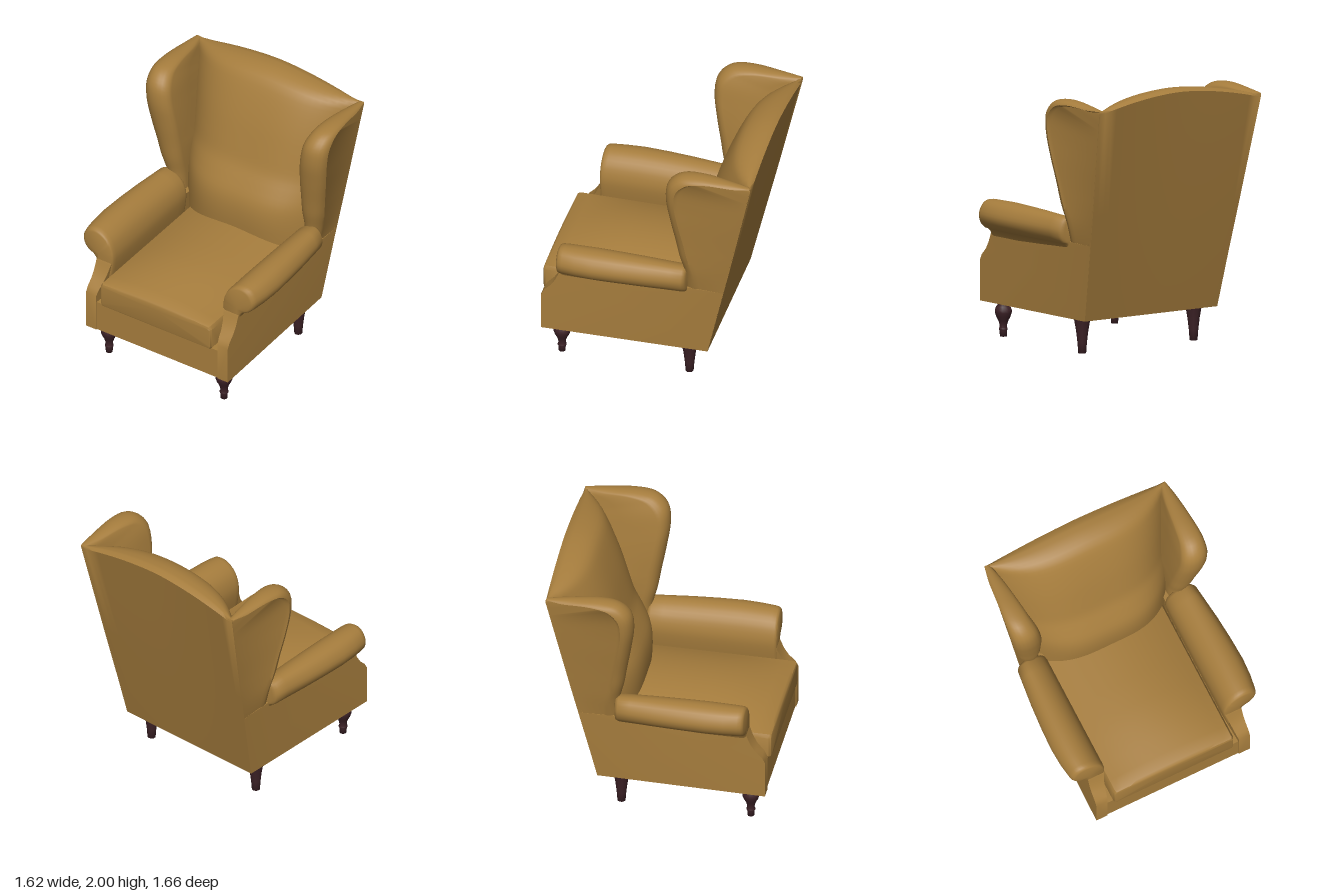
import * as THREE from 'three';
import { toCreasedNormals } from 'three/addons/utils/BufferGeometryUtils.js';

// Skin a list of closed rings [[x,y,z],...] and cap both ends; faces always point outward.
function loft(rings, crease = 0.65) {
  const n = rings[0].length, pos = rings.flat(2), idx = [];
  for (let r = 0; r < rings.length - 1; r++)
    for (let i = 0; i < n; i++) {
      const a = r * n + i, b = r * n + (i + 1) % n;
      idx.push(a, b, b + n, a, b + n, a + n);
    }
  [0, rings.length - 1].forEach((r, end) => {
    const c = pos.length / 3, ring = rings[r];
    for (let k = 0; k < 3; k++) pos.push(ring.reduce((s, p) => s + p[k], 0) / n);
    for (let i = 0; i < n; i++) {
      const a = r * n + i, b = r * n + (i + 1) % n;
      if (end) idx.push(c, a, b); else idx.push(c, b, a);
    }
  });
  const v = (i) => new THREE.Vector3().fromArray(pos, i * 3);
  let volume = 0;
  for (let i = 0; i < idx.length; i += 3) volume += v(idx[i]).dot(v(idx[i + 1]).cross(v(idx[i + 2])));
  if (volume < 0) idx.reverse();
  const g = new THREE.BufferGeometry();
  g.setAttribute('position', new THREE.Float32BufferAttribute(pos, 3));
  g.setIndex(idx);
  return toCreasedNormals(g, crease);
}

const mirrorX = (rings, side) => rings.map((r) => r.map(([x, y, z]) => [x * side, y, z]));
const clamp = THREE.MathUtils.clamp;
const backZ = (y) => -0.465 - 0.224 * (Math.min(y, 1.9) - 0.27); // raked rear plane
const backW = (y) => 0.61 + 0.085 * (Math.min(y, 1.9) - 0.27);   // half width of the rear plane

// Backrest: side profile swept across the width, crowned and bulging in the middle
function backRings() {
  const curve = new THREE.SplineCurve([
    [-0.79, 2.0], [-0.7, 1.997], [-0.6, 1.955], [-0.53, 1.85], [-0.445, 1.65], [-0.38, 1.45], [-0.335, 1.31],
    [-0.275, 1.2], [-0.218, 1.08], [-0.2, 0.93], [-0.215, 0.7], [-0.25, 0.265],
  ].map((p) => new THREE.Vector2(...p)));
  const profile = [...curve.getPoints(33).map((p) => [p.x, p.y]),
    [backZ(0.265), 0.265], [backZ(1.1), 1.1], [backZ(1.9), 1.98]];
  const rings = [];
  for (let i = 0; i <= 28; i++) {
    const u = -1 + i / 14, bulge = 1 - 0.92 * Math.abs(u) ** 3.2;
    const drop = 0.1 * Math.min(1, 1.12 * Math.abs(u) ** 1.75);
    rings.push(profile.map(([z, y]) => {
      const yy = y - drop * clamp((y - 0.27) / 1.73, 0, 1) ** 2;
      return [u * backW(yy) * 0.998, yy, backZ(y) + (z - backZ(y)) * bulge];
    }));
  }
  return rings;
}

// Wing: rolled front edge [z, y, outer x, inner x], each joined to a height on the rear plane
function wingRings() {
  const rows = [
    [-0.82, 1.905, 0.75, 0.715, 1.89], [-0.6, 1.93, 0.778, 0.675, 1.84], [-0.4, 1.94, 0.798, 0.648, 1.78],
    [-0.27, 1.915, 0.81, 0.628, 1.73], [-0.19, 1.835, 0.812, 0.6, 1.67], [-0.17, 1.7, 0.803, 0.578, 1.59],
    [-0.195, 1.5, 0.778, 0.555, 1.42], [-0.23, 1.3, 0.745, 0.545, 1.25], [-0.255, 1.15, 0.722, 0.54, 1.1],
    [-0.29, 1.0, 0.69, 0.54, 0.97], [-0.3, 0.8, 0.642, 0.54, 0.8],
  ];
  const edge = new THREE.CatmullRomCurve3(rows.map(([z, y]) => new THREE.Vector3(0, y, z)));
  const width = new THREE.CatmullRomCurve3(rows.map((r) => new THREE.Vector3(r[2], r[3], r[4])));
  const rings = [];
  for (let i = 0; i <= 40; i++) {
    const t = i / 40, p = edge.getPoint(t), w = width.getPoint(t);
    const by = w.z, b = new THREE.Vector3(0, by, backZ(by)), len = p.distanceTo(b);
    const depth = Math.min(0.085, len * 0.4), at = (x, s) => {
      const q = p.clone().lerp(b, s);
      return [x, q.y, q.z];
    };
    const outB = backW(by), inB = Math.min(outB - 0.03, 0.56 + 0.14 * clamp((by - 1.2) / 0.7, 0, 1));
    const seam = (1.3 * depth) / len;
    const ring = [at(outB, 1), at(THREE.MathUtils.lerp(w.x, outB, seam) - 0.006, seam)];
    for (let k = 0; k <= 10; k++) {
      const a = (k / 10) * Math.PI;
      ring.push(at((w.x + w.y) / 2 + ((w.x - w.y) / 2) * Math.cos(a), (depth * (1 - Math.sin(a))) / len));
    }
    ring.push(at((w.y + inB) / 2, 0.6), at(inB, 1));
    rings.push(ring);
  }
  return rings;
}

// Arm: scroll section along z; only the outer overhang swells and narrows
function armRings() {
  const scroll = new THREE.SplineCurve([
    [0.54, 0.5], [0.52, 0.62], [0.495, 0.78], [0.495, 0.88], [0.53, 0.98], [0.6, 1.045], [0.68, 1.06],
    [0.75, 1.03], [0.79, 0.955], [0.775, 0.89], [0.73, 0.845], [0.68, 0.825], [0.64, 0.78], [0.62, 0.7], [0.62, 0.5],
  ].map((p) => new THREE.Vector2(...p))).getPoints(42);
  // z, overhang factor, top height factor, edge inset
  const stations = [[0.668, 0.8, 0.92, 0.86], [0.662, 0.82, 0.93, 0.94], [0.648, 0.85, 0.95, 0.985], [0.62, 0.88, 0.96, 1],
    [0.52, 0.98, 0.98, 1], [0.38, 1.03, 1, 1], [0.2, 0.98, 0.98, 1], [0, 0.88, 0.94, 1], [-0.2, 0.73, 0.88, 1],
    [-0.29, 0.66, 0.86, 1], [-0.31, 0.58, 0.84, 0.96], [-0.318, 0.4, 0.8, 0.9]];
  return stations.map(([z, k, h, inset]) => scroll.map((p) => {
    const x = p.x > 0.64 ? 0.64 + (p.x - 0.64) * k : p.x;
    const y = p.y > 0.9 ? 0.9 + (p.y - 0.9) * h : p.y;
    return [0.6 + (x - 0.6) * inset, 0.9 + (y - 0.9) * inset, z];
  }));
}

// Side panel: flat outline with a swept front that widens inward as it climbs to the arm
function panelRings() {
  const outline = [[backZ(0.265), 0.265], [0.81, 0.265], [0.81, 0.57], [0.785, 0.615], [0.735, 0.665], [0.7, 0.72],
    [0.675, 0.78], [0.66, 0.82], [0.63, 0.85], [0.3, 0.85], [0, 0.85], [-0.3, 0.85], [backZ(0.85), 0.85]];
  return [0, 1].map((outer) => outline.map(([z, y]) => {
    const inner = 0.545 - 0.045 * clamp((y - 0.57) / 0.25, 0, 1);
    return [outer ? THREE.MathUtils.lerp(0.636, backW(y), clamp((0.3 - z) / 0.85, 0, 1)) : inner, y, z];
  }));
}

// Seat cushion: crowned top, softened edges
function cushionRings() {
  const stations = [[0.832, 0.02], [0.827, 0.008], [0.81, 0], [0.72, 0], [0.6, 0], [0.45, 0], [0.3, 0], [0.1, 0], [-0.1, 0], [-0.4, 0]];
  return stations.map(([z, inset]) => {
    const g = 0.2 + 0.8 * Math.sin(clamp((0.83 - z) / 0.6, 0, 1) * Math.PI / 2);
    const W = 0.497 - inset, low = 0.516 + inset, ring = [[-W + 0.012, low, z], [-W, low + 0.015, z], [-W, 0.695, z]];
    for (let i = 0; i <= 16; i++) {
      const q = -1 + i / 8;
      ring.push([q * (W - 0.015), 0.722 - inset + 0.1 * g * (1 - q * q), z]);
    }
    ring.push([W, 0.695, z], [W, low + 0.015, z], [W - 0.012, low, z]);
    return ring;
  });
}

export function createModel() {
  const model = new THREE.Group();
  model.name = 'wingbackArmchair';
  const fabric = new THREE.MeshStandardMaterial({ color: 0xa67d3d });
  fabric.name = 'mustard upholstery';
  const wood = new THREE.MeshStandardMaterial({ color: 0x3d2227 });
  wood.name = 'dark wood';
  const add = (name, geometry, material, x = 0, y = 0, z = 0) => {
    const mesh = new THREE.Mesh(geometry, material);
    mesh.name = name;
    mesh.position.set(x, y, z);
    model.add(mesh);
  };

  add('seatBase', new THREE.BoxGeometry(1.1, 0.248, 1.245), fabric, 0, 0.39, 0.18);
  add('seatCushion', loft(cushionRings()), fabric);
  add('backrest', loft(backRings(), 0.8), fabric);

  // Turned front legs and tapered back legs
  const lathe = (points, sides) => new THREE.LatheGeometry(points.map((p) => new THREE.Vector2(...p)), sides);
  const frontLeg = lathe([[0, 0], [0.026, 0], [0.028, 0.045], [0.033, 0.052], [0.033, 0.06], [0.027, 0.068], [0.03, 0.095],
    [0.038, 0.12], [0.054, 0.15], [0.064, 0.18], [0.064, 0.2], [0.053, 0.225], [0.042, 0.24], [0.044, 0.255], [0.05, 0.27]], 16);
  const backLeg = lathe([[0, 0], [0.031, 0], [0.037, 0.08], [0.048, 0.17], [0.058, 0.225], [0.066, 0.27]], 10);

  for (const [label, side] of [['left', 1], ['right', -1]]) {
    add(label + 'SidePanel', loft(mirrorX(panelRings(), side)), fabric);
    add(label + 'Arm', loft(mirrorX(armRings(), side), 0.8), fabric);
    add(label + 'Wing', loft(mirrorX(wingRings(), side), 0.8), fabric);
    add(label + 'FrontLeg', frontLeg, wood, side * 0.515, 0, 0.68);
    add(label + 'BackLeg', backLeg, wood, side * 0.515, 0, -0.3);
  }
  return model;
}
